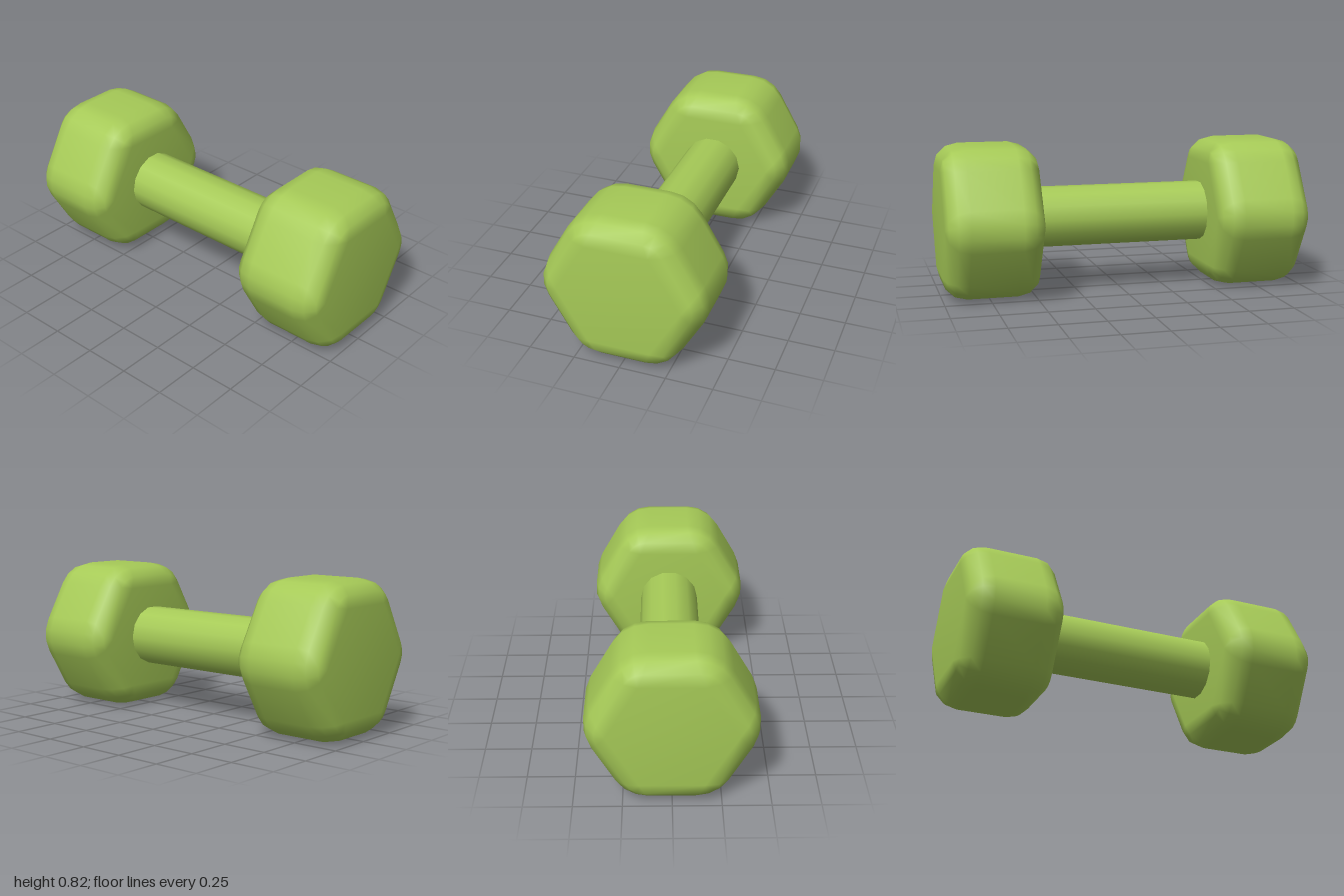
import * as THREE from 'three';
import { mergeVertices } from 'three/addons/utils/BufferGeometryUtils.js';

const CENTER_Y = 0.41, HEAD_X = 0.7375, HALF_WIDTH = 0.2625;
const APOTHEM = 0.41, BEVEL = 0.126, STEPS = 3;

// Hexagon outline (flats up and down) whose corners are rounded over length cut
function hexRing(x, apothem, cut) {
  const points = [];
  const radius = cut / Math.tan(Math.PI / 6);
  const centre = (apothem - radius) / Math.cos(Math.PI / 6);
  for (let k = 0; k < 6; k++) {
    const corner = k * Math.PI / 3;
    for (let s = 0; s <= STEPS; s++) {
      const a = corner + (s / STEPS - 0.5) * Math.PI / 3;
      points.push([x,
        centre * Math.sin(corner) + radius * Math.sin(a),
        centre * Math.cos(corner) + radius * Math.cos(a)]);
    }
  }
  return points;
}

// Hexagonal block with rounded edges, lofted along x and closed at both ends
function headGeometry() {
  const rings = [];
  for (const side of [-1, 1]) {
    for (let i = 0; i <= STEPS; i++) {
      const t = (side < 0 ? i : STEPS - i) / STEPS * Math.PI / 2;
      rings.push(hexRing(
        side * (HALF_WIDTH - BEVEL + BEVEL * Math.cos(t)),
        APOTHEM - BEVEL + BEVEL * Math.sin(t),
        t === 0 ? 0 : BEVEL * Math.sin(t)));
    }
  }
  const n = rings[0].length, last = (rings.length - 1) * n, index = [];
  const positions = [...rings.flat(), [-HALF_WIDTH, 0, 0], [HALF_WIDTH, 0, 0]];
  const capA = positions.length - 2, capB = capA + 1;
  for (let j = 0; j < n; j++) {
    const k = (j + 1) % n;
    for (let r = 0; r < last; r += n) {
      index.push(r + j, r + n + j, r + k, r + k, r + n + j, r + n + k);
    }
    index.push(capA, j, k, capB, last + k, last + j);
  }
  let geometry = new THREE.BufferGeometry();
  geometry.setAttribute('position', new THREE.Float32BufferAttribute(positions.flat(), 3));
  geometry.setIndex(index);
  geometry = mergeVertices(geometry);

  // Drop the triangles that collapse at the sharp cap corners
  const merged = geometry.index.array, kept = [];
  for (let i = 0; i < merged.length; i += 3) {
    const [a, b, c] = [merged[i], merged[i + 1], merged[i + 2]];
    if (a !== b && b !== c && a !== c) kept.push(a, b, c);
  }
  geometry.setIndex(kept);
  geometry.computeVertexNormals();
  return geometry;
}

export function createModel() {
  const group = new THREE.Group();
  group.name = 'dumbbell';
  const green = new THREE.MeshStandardMaterial({ color: 0xa6ca57 });
  green.name = 'lime green';

  // Weights
  const head = headGeometry();
  for (const [name, side] of [['leftWeight', 1], ['rightWeight', -1]]) {
    const mesh = new THREE.Mesh(head, green);
    mesh.name = name;
    mesh.position.set(side * HEAD_X, CENTER_Y, 0);
    group.add(mesh);
  }

  // Grip bar, its ends sunk into the weights
  const bar = new THREE.CylinderGeometry(0.167, 0.167, 1, 14, 1, true);
  bar.rotateZ(Math.PI / 2);
  const handle = new THREE.Mesh(bar, green);
  handle.name = 'handle';
  handle.position.y = CENTER_Y;
  group.add(handle);

  return group;
}
